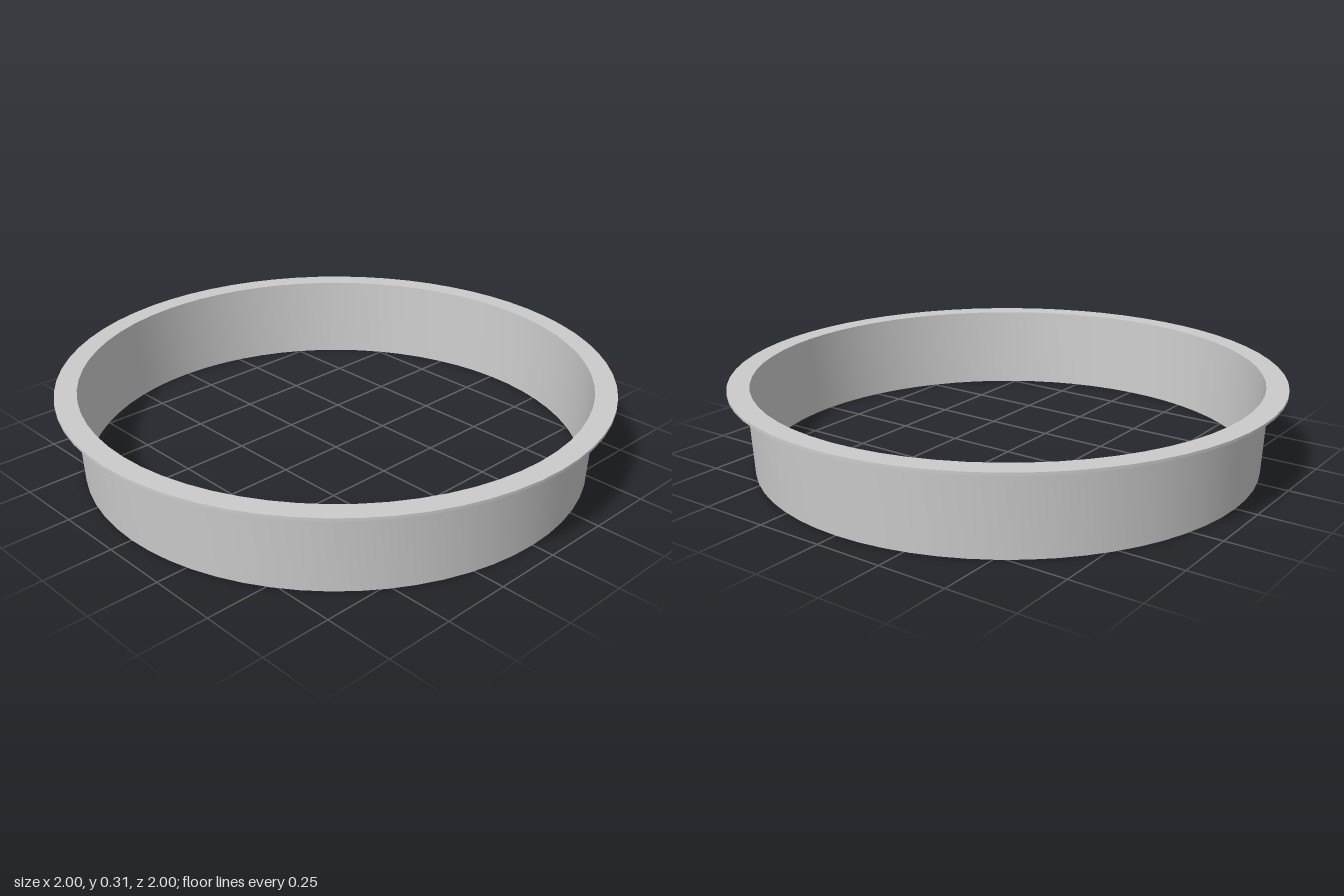
import * as THREE from 'three';
import { toCreasedNormals } from 'three/addons/utils/BufferGeometryUtils.js';

const SEGMENTS = 64;
const material = new THREE.MeshStandardMaterial({ color: 0xcccccc });

// Revolve an [radius, height] profile, listed counter-clockwise, keeping its corners sharp
function ring(name, profile) {
  const points = profile.map(([r, y]) => new THREE.Vector2(r, y));
  const geometry = toCreasedNormals(new THREE.LatheGeometry(points, SEGMENTS), Math.PI / 6);
  const mesh = new THREE.Mesh(geometry, material);
  mesh.name = name;
  return mesh;
}

export function createModel() {
  const group = new THREE.Group();
  group.name = 'flangedRing';

  // Thin tapered wall, open at the top where it meets the flange
  group.add(ring('taperedSleeve', [
    [0.921, 0.3], [0.906, 0], [0.92, 0], [0.935, 0.3],
  ]));

  // Thin flat flange around the upper rim
  group.add(ring('rimFlange', [
    [0.935, 0.3], [1, 0.3], [1, 0.31], [0.9215, 0.31], [0.921, 0.3],
  ]));

  return group;
}
